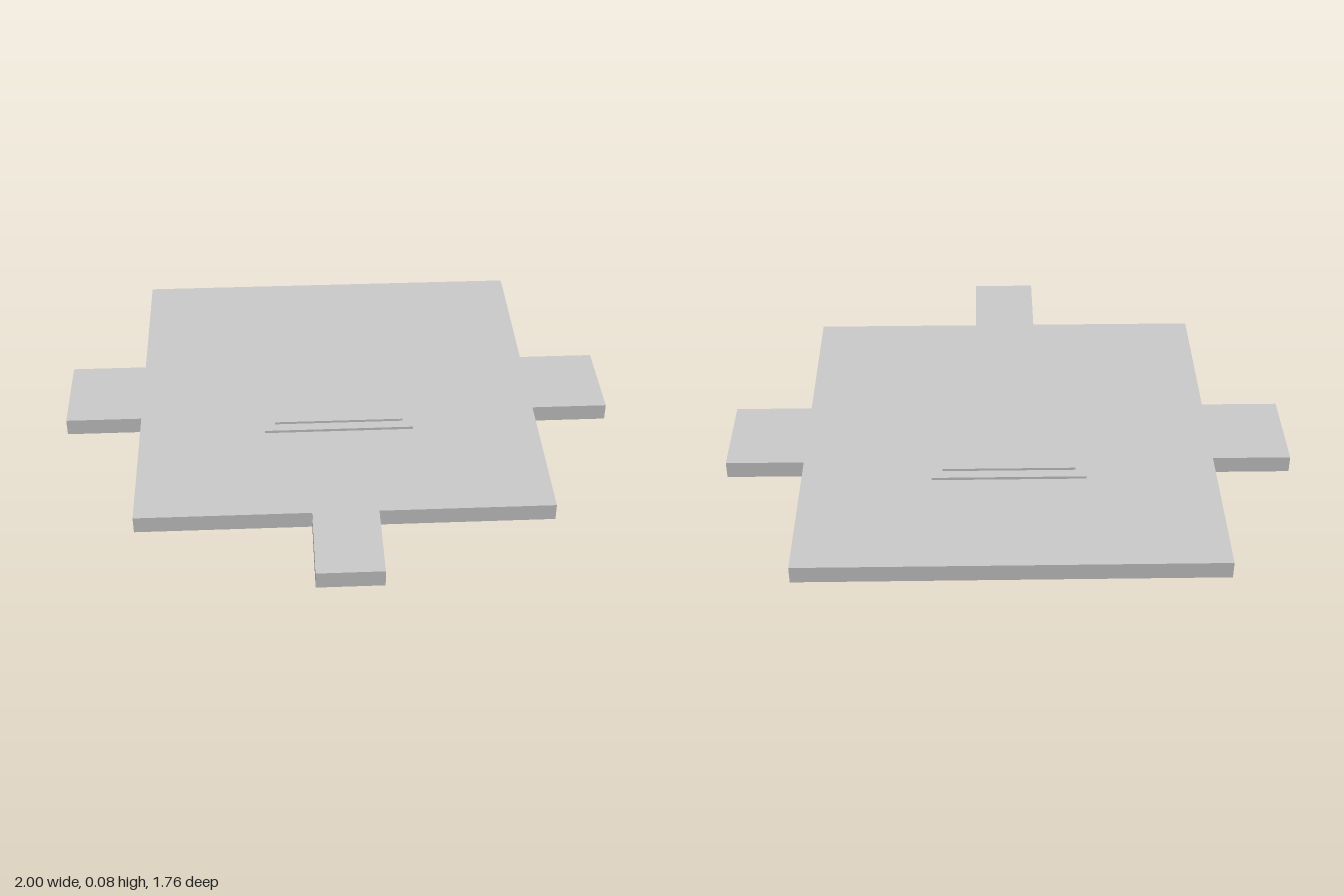
import * as THREE from 'three';

const material = new THREE.MeshStandardMaterial({ color: 0xcccccc, side: THREE.DoubleSide, flatShading: true });

const TOP = 0.062, STEP = 0.072, CAP = 0.081; // heights of plate, step and cap
const MID = -0.153;                          // z centre of the raised panel

// Corners [x, z] of a rectangle, counter-clockwise seen from above
const rect = (x0, x1, z0, z1) => [[x0, z1], [x1, z1], [x1, z0], [x0, z0]];

const toVectors = (points) => points.map(([x, z]) => new THREE.Vector2(x, -z));

// Flat horizontal sheet at height y, facing up, with an optional hole
function sheet(points, y, hole) {
  const shape = new THREE.Shape(toVectors(points));
  if (hole) shape.holes.push(new THREE.Path(toVectors(hole)));
  return new THREE.ShapeGeometry(shape).rotateX(-Math.PI / 2).translate(0, y, 0);
}

// Upright wall following a closed outline, facing outward
function wall(points, y0, y1) {
  const pos = [];
  points.forEach(([ax, az], i) => {
    const [bx, bz] = points[(i + 1) % points.length];
    pos.push(ax, y0, az, bx, y0, bz, bx, y1, bz, ax, y0, az, bx, y1, bz, ax, y1, az);
  });
  const geometry = new THREE.BufferGeometry();
  geometry.setAttribute('position', new THREE.Float32BufferAttribute(pos, 3));
  geometry.computeVertexNormals();
  return geometry;
}

export function createModel() {
  const model = new THREE.Group();
  model.name = 'floorPlate';
  const add = (name, geometry) => {
    const mesh = new THREE.Mesh(geometry, material);
    mesh.name = name;
    model.add(mesh);
  };

  // Square body with two side tabs and a narrow front tab
  const w = 0.725, back = -0.882, front = 0.577, end = 0.882;
  const tabBack = -0.318, tabFront = 0.012, tabHalf = 0.115;
  const half = [
    [tabHalf, end], [tabHalf, front], [w, front], [w, tabFront],
    [1, tabFront], [1, tabBack], [w, tabBack], [w, back],
  ];
  const outline = [...half, ...half.map(([x, z]) => [-x, z]).reverse()];
  const outer = rect(-0.27, 0.27, MID - 0.275, MID + 0.275);
  const inner = rect(-0.233, 0.233, MID - 0.237, MID + 0.237);

  add('topPlate', sheet(outline, TOP, outer));
  add('outerWall', wall(outline, 0, TOP));

  // Hollow raised panel in two steps
  add('lowerStepWall', wall(outer, TOP, STEP));
  add('lowerStep', sheet(outer, STEP, inner));
  add('upperStepWall', wall(inner, STEP, CAP));
  add('panelCap', sheet(inner, CAP));

  // Undersides of the tabs; the body itself is open below
  const floors = {
    leftTabFloor: [w, 1, tabBack, tabFront],
    rightTabFloor: [-1, -w, tabBack, tabFront],
    frontTabFloor: [-tabHalf, tabHalf, front, end],
  };
  for (const [name, [x0, x1, z0, z1]] of Object.entries(floors)) {
    const floor = new THREE.PlaneGeometry(x1 - x0, z1 - z0).rotateX(Math.PI / 2);
    add(name, floor.translate((x0 + x1) / 2, 0, (z0 + z1) / 2));
  }
  return model;
}
